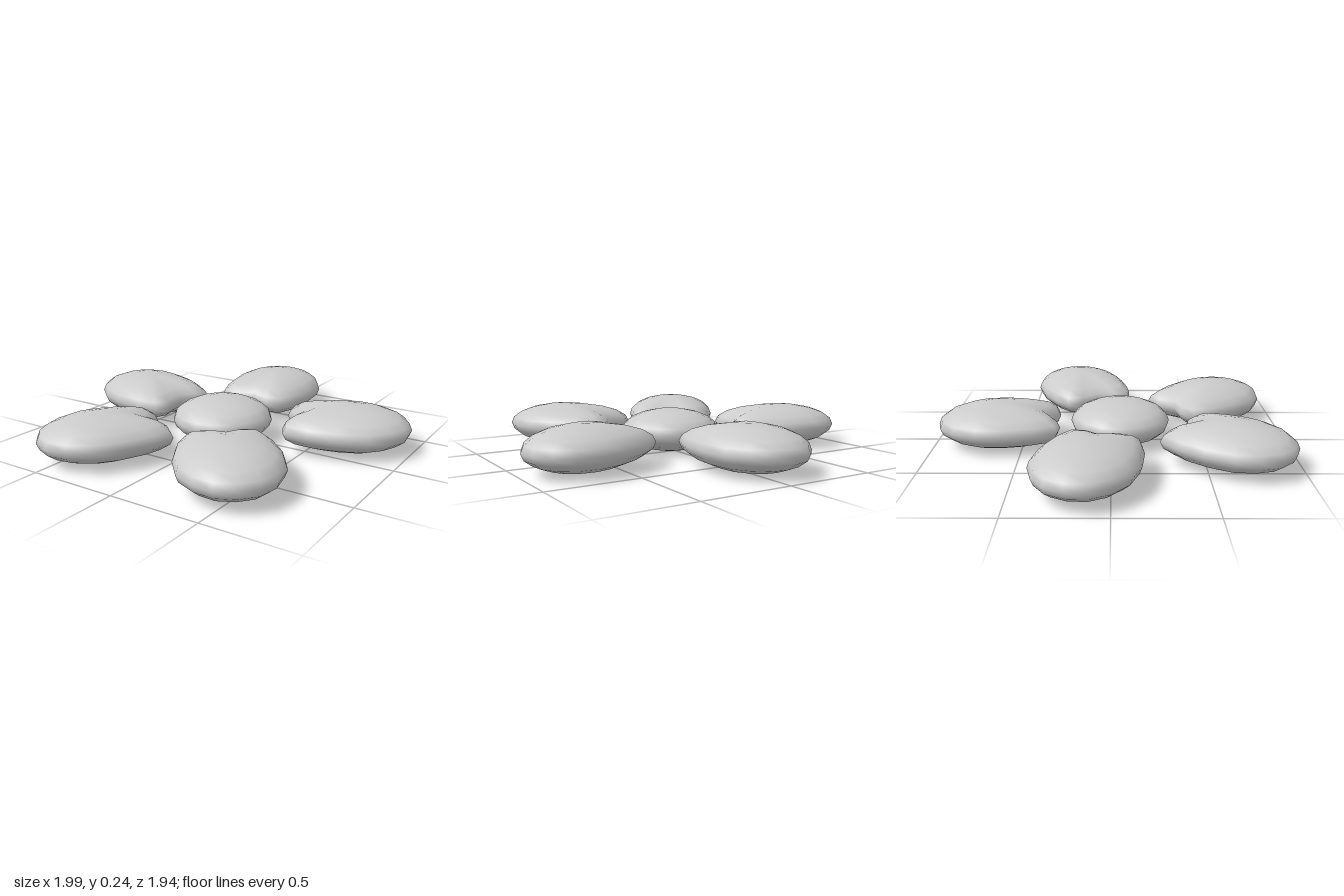
import * as THREE from 'three';
import { mergeVertices } from 'three/addons/utils/BufferGeometryUtils.js';

const SEGMENTS = 16, RINGS = 10, HALF_HEIGHT = 0.12, CENTRE_Z = 0.05;

// Petal outline [x, z] seen from above, clockwise from the tip, around the flower centre
const OUTLINE = [
  [-0.06, -1.025], [0.05, -1.005], [0.14, -0.93], [0.21, -0.815],
  [0.23, -0.65], [0.215, -0.49], [0.17, -0.36], [0.08, -0.345],
  [-0.03, -0.39], [-0.14, -0.335], [-0.23, -0.345], [-0.28, -0.46],
  [-0.315, -0.63], [-0.31, -0.78], [-0.255, -0.91], [-0.17, -0.995],
];
const PETAL_MID = [-0.043, -0.69];

// Small hand-placed offset [x, z] of each petal
const OFFSETS = [[0, 0], [0.023, 0.01], [-0.03, 0.033], [-0.007, 0.015], [0, -0.003]];

// Sphere whose every ring follows the notched outline
function petalGeometry() {
  const geo = new THREE.SphereGeometry(1, SEGMENTS, RINGS);
  const pos = geo.attributes.position;
  for (let i = 0; i < pos.count; i++) {
    const column = i % (SEGMENTS + 1);
    const row = Math.floor(i / (SEGMENTS + 1));
    const [ox, oz] = OUTLINE[(2 * SEGMENTS - column) % SEGMENTS];
    const s = Math.sin((row / RINGS) * Math.PI);
    pos.setXYZ(
      i,
      PETAL_MID[0] + (ox - PETAL_MID[0]) * s,
      pos.getY(i) * HALF_HEIGHT,
      PETAL_MID[1] + (oz - PETAL_MID[1]) * s
    );
  }
  // Weld the seam so the shading stays smooth
  geo.deleteAttribute('uv');
  geo.deleteAttribute('normal');
  const welded = mergeVertices(geo, 1e-4);
  welded.computeVertexNormals();
  return welded;
}

export function createModel() {
  const group = new THREE.Group();
  group.name = 'flower';
  const material = new THREE.MeshStandardMaterial({ color: 0xcccccc });

  // Flattened round centre
  const centre = new THREE.Mesh(new THREE.SphereGeometry(1, SEGMENTS, RINGS), material);
  centre.name = 'flowerCentre';
  centre.scale.set(0.28, HALF_HEIGHT, 0.28);
  centre.position.set(0, HALF_HEIGHT, CENTRE_Z);
  group.add(centre);

  // Five petals around it
  const geometry = petalGeometry();
  OFFSETS.forEach(([dx, dz], i) => {
    const petal = new THREE.Mesh(geometry, material);
    petal.name = `petal${i + 1}`;
    petal.rotation.y = (-i * Math.PI * 2) / OFFSETS.length;
    petal.position.set(dx, HALF_HEIGHT, CENTRE_Z + dz);
    group.add(petal);
  });
  return group;
}
